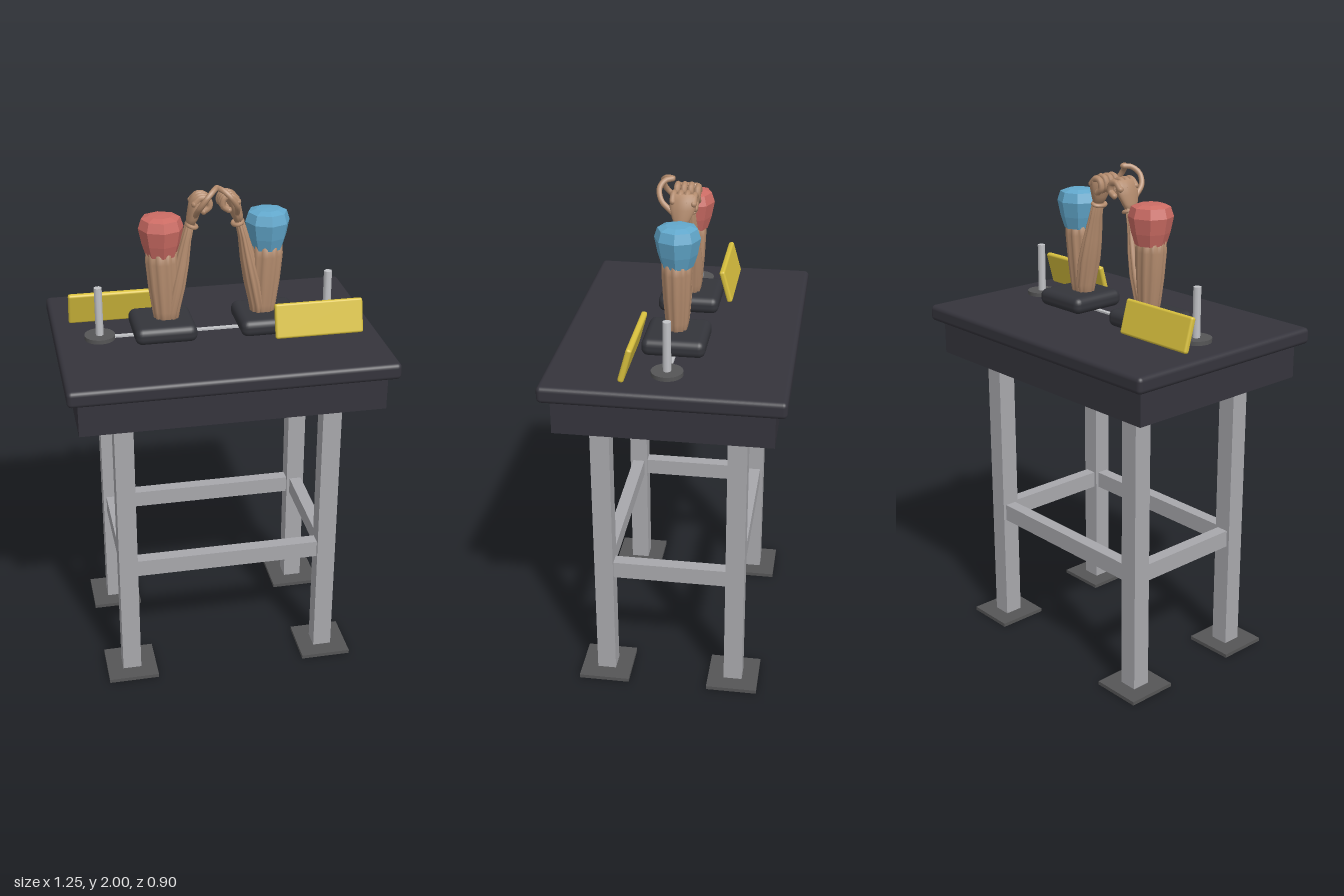
import * as THREE from 'three';
import { RoundedBoxGeometry } from 'three/addons/geometries/RoundedBoxGeometry.js';

const paint = (name, color, extra = {}) => {
  const m = new THREE.MeshStandardMaterial({ color, ...extra });
  m.name = name;
  return m;
};

// Closed limb lofted through horizontal rings [x, y, z, rx, rz], with shallow muscle grooves
function limb(rings, lobes, depth) {
  const n = 40, pos = [], idx = [];
  rings.forEach(([cx, cy, cz, rx, rz]) => {
    for (let i = 0; i < n; i++) {
      const a = (i / n) * Math.PI * 2;
      const k = 1 - depth * (1 - Math.sqrt(Math.abs(Math.sin((a * lobes) / 2))));
      pos.push(cx + Math.sin(a) * rx * k, cy, cz + Math.cos(a) * rz * k);
    }
  });
  for (let r = 0; r < rings.length - 1; r++) {
    for (let i = 0; i < n; i++) {
      const a = r * n + i, b = r * n + ((i + 1) % n);
      idx.push(a, b, b + n, a, b + n, a + n);
    }
  }
  const bottom = pos.length / 3, top = bottom + 1, last = (rings.length - 1) * n;
  pos.push(...rings[0].slice(0, 3), ...rings[rings.length - 1].slice(0, 3));
  for (let i = 0; i < n; i++) {
    const j = (i + 1) % n;
    idx.push(bottom, j, i, top, last + i, last + j);
  }
  const g = new THREE.BufferGeometry();
  g.setAttribute('position', new THREE.Float32BufferAttribute(pos, 3));
  g.setIndex(idx);
  g.computeVertexNormals();
  return g;
}

export function createModel() {
  const model = new THREE.Group();
  model.name = 'armWrestlingTable';
  const vinyl = paint('tableVinyl', 0x35343c);
  const padVinyl = paint('elbowPadVinyl', 0x34353b);
  const steel = paint('legSteel', 0xa8a8ac);
  const chrome = paint('pegChrome', 0xc2c3c7);
  const plate = paint('plateGrey', 0x555556);
  const yellow = paint('touchPadYellow', 0xd8c03e);
  const skin = paint('skin', 0xb48c6e);
  const red = paint('sleeveRed', 0xcc6c64, { flatShading: true });
  const blue = paint('sleeveBlue', 0x62a8cc, { flatShading: true });

  const add = (parent, name, geo, mat, x = 0, y = 0, z = 0) => {
    const m = new THREE.Mesh(geo, mat);
    m.name = name;
    m.position.set(x, y, z);
    parent.add(m);
    return m;
  };
  const box = (w, h, d) => new THREE.BoxGeometry(w, h, d);

  // Table top and apron
  add(model, 'tableTop', new RoundedBoxGeometry(1.255, 0.065, 0.905, 3, 0.018), vinyl, 0, 1.3675, 0);
  add(model, 'apron', box(1.175, 0.145, 0.82), vinyl, 0, 1.27, 0);

  // Legs, feet and stretchers
  for (const sx of [-1, 1]) {
    for (const sz of [-1, 1]) {
      add(model, 'leg', box(0.075, 1.19, 0.075), steel, sx * 0.41, 0.605, sz * 0.263);
      add(model, 'footPlate', box(0.205, 0.015, 0.205), plate, sx * 0.41, 0.0075, sz * 0.263);
    }
    add(model, 'sideStretcher', box(0.05, 0.07, 0.452), steel, sx * 0.41, 0.5, 0);
    add(model, 'longStretcher', box(0.746, 0.07, 0.05), steel, 0, 0.5, sx * 0.263);
  }

  // Strip between the hand pegs
  add(model, 'centreStrip', box(0.9, 0.008, 0.018), chrome, 0, 1.403, 0);

  for (const s of [-1, 1]) {
    // Hand peg on its disc
    add(model, 'pegDisc', new THREE.CylinderGeometry(0.06, 0.06, 0.016, 24), plate, s * 0.454, 1.408, 0);
    add(model, 'handPeg', new THREE.CylinderGeometry(0.016, 0.016, 0.205, 8).rotateY(Math.PI / 8), chrome,
      s * 0.454, 1.508, 0);
    add(model, 'elbowPad', new RoundedBoxGeometry(0.242, 0.068, 0.242, 3, 0.028), padVinyl, s * 0.207, 1.436, 0);
    // Touch pad leaning towards the middle
    const touch = add(model, 'touchPad', new RoundedBoxGeometry(0.35, 0.136, 0.023, 2, 0.009), yellow,
      s * 0.385, 1.473, s * 0.138);
    touch.rotation.x = -s * 0.27;

    const arm = new THREE.Group();
    arm.name = s > 0 ? 'leftArm' : 'rightArm';
    model.add(arm);
    const limbPart = (name, rings, lobes, depth) =>
      add(arm, name, limb(rings.map(([x, ...rest]) => [s * x, ...rest]), lobes, depth), skin);

    // Upper arm
    limbPart('upperArm', [
      [0.195, 1.44, 0, 0.04, 0.034],
      [0.196, 1.5, 0, 0.05, 0.045],
      [0.2, 1.6, 0, 0.06, 0.053],
      [0.205, 1.7, 0, 0.064, 0.058],
      [0.206, 1.76, 0, 0.06, 0.056],
    ], 10, 0.13);
    // Forearm
    limbPart('forearm', [
      [0.18, 1.44, 0, 0.034, 0.034],
      [0.172, 1.5, 0, 0.036, 0.045],
      [0.151, 1.6, 0, 0.038, 0.052],
      [0.131, 1.69, 0, 0.032, 0.045],
      [0.112, 1.78, 0, 0.022, 0.032],
      [0.094, 1.85, 0, 0.018, 0.027],
    ], 10, 0.14);
    // Wrist bulge and palm
    const wrist = add(arm, 'wrist', new THREE.TorusGeometry(0.019, 0.008, 8, 20).rotateX(Math.PI / 2), skin,
      s * 0.089, 1.836, 0);
    wrist.scale.z = 1.4;
    wrist.rotation.z = s * 0.3;
    limbPart('palm', [
      [0.093, 1.84, 0, 0.016, 0.025],
      [0.086, 1.865, 0, 0.023, 0.036],
      [0.077, 1.9, -0.003, 0.025, 0.05],
      [0.07, 1.935, -0.006, 0.025, 0.052],
      [0.064, 1.953, -0.006, 0.015, 0.043],
    ], 6, 0.06);

    // Rounded finger along a curve
    const finger = (name, pts, r) => {
      const v = pts.map(([x, y, z]) => new THREE.Vector3(s * x, y, z));
      add(arm, name, new THREE.TubeGeometry(new THREE.CatmullRomCurve3(v), 14, r, 8), skin);
      for (const p of [v[0], v[v.length - 1]])
        add(arm, name + 'End', new THREE.SphereGeometry(r, 8, 6), skin, p.x, p.y, p.z);
    };
    for (let i = 0; i < 4; i++) {
      const z = -0.045 + i * 0.026, dy = i === 0 ? -0.006 : 0;
      finger('finger', [
        [0.083, 1.928 + dy, z], [0.058, 1.95 + dy, z], [0.032, 1.944 + dy, z],
        [0.026, 1.915 + dy, z], [0.048, 1.898 + dy, z],
      ], 0.0125);
    }
    finger('thumb', [
      [0.08, 1.885, 0.035], [0.07, 1.925, 0.077], [0.045, 1.964, 0.088],
      [0.018, 1.987, 0.07], [0.002, 1.99, 0.045],
    ], 0.011);

    // Faceted sleeve capping the upper arm
    const profile = [[0, 1.725], [0.06, 1.727], [0.075, 1.775], [0.087, 1.835], [0.075, 1.872], [0.045, 1.882], [0, 1.884]]
      .map(([x, y]) => new THREE.Vector2(x, y));
    add(arm, 'sleeve', new THREE.LatheGeometry(profile, 8), s > 0 ? blue : red, s * 0.206, 0, -0.003);
  }
  return model;
}
